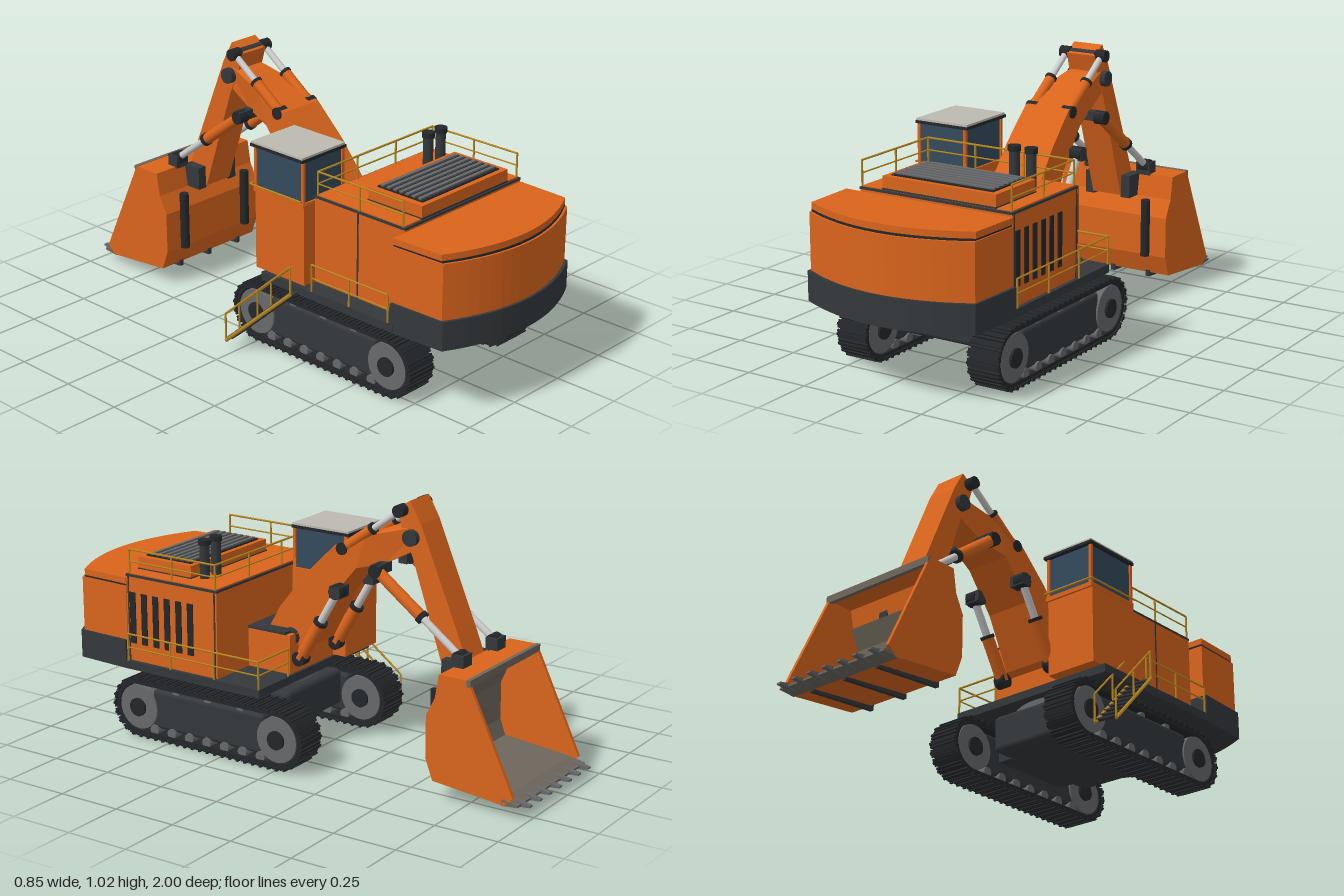
import * as THREE from 'three';
import { RoundedBoxGeometry } from 'three/addons/geometries/RoundedBoxGeometry.js';

const mat = (color, side = THREE.FrontSide) => new THREE.MeshStandardMaterial({ color, side });
const orange = mat(0xd9641c), dark = mat(0x34383b), black = mat(0x24272a), steel = mat(0x66686a);
const chrome = mat(0xcccccc), yellow = mat(0xb8871f), glass = mat(0x344a5c), roofMat = mat(0xbdbab0), worn = mat(0x6e675c);
const CX = 0.055; // centre line of the machine

export function createModel() {
  const root = new THREE.Group();
  let target = root;
  const group = (name) => { target = new THREE.Group(); target.name = name; root.add(target); return target; };
  const add = (name, geo, m) => { const o = new THREE.Mesh(geo, m); o.name = name; target.add(o); return o; };

  const box = (name, m, x0, x1, y0, y1, z0, z1, r = 0) => {
    const s = [x1 - x0, y1 - y0, z1 - z0];
    const o = add(name, r ? new RoundedBoxGeometry(...s, 2, r) : new THREE.BoxGeometry(...s), m);
    o.position.set((x0 + x1) / 2, (y0 + y1) / 2, (z0 + z1) / 2);
    return o;
  };
  const shapeOf = (pts) => new THREE.Shape(pts.map((p) => new THREE.Vector2(p[0], p[1])));
  // side profile given as [z, y], extruded from x0 to x1
  const side = (name, m, shape, x0, x1) => {
    const g = new THREE.ExtrudeGeometry(Array.isArray(shape) ? shapeOf(shape) : shape, { depth: x1 - x0, bevelEnabled: false, curveSegments: 16 });
    g.rotateY(-Math.PI / 2).translate(x1, 0, 0);
    return add(name, g, m);
  };
  // plan outline given as [x, z], extruded from y0 to y1
  const plan = (name, m, pts, y0, y1) => {
    const g = new THREE.ExtrudeGeometry(shapeOf(pts), { depth: y1 - y0, bevelEnabled: false });
    return add(name, g.rotateX(Math.PI / 2).translate(0, y1, 0), m);
  };
  const rod = (name, m, a, b, r, seg = 16, r2 = r) => {
    const A = new THREE.Vector3(...a), d = new THREE.Vector3(...b).sub(A);
    const o = add(name, new THREE.CylinderGeometry(r2, r, d.length(), seg), m);
    o.position.copy(A).addScaledVector(d, 0.5);
    o.quaternion.setFromUnitVectors(new THREE.Vector3(0, 1, 0), d.normalize());
    return o;
  };
  const pin = (name, m, x0, x1, y, z, r, seg = 20) => rod(name, m, [x0, y, z], [x1, y, z], r, seg);
  const rail = (pts, r = 0.004) => pts.slice(1).forEach((p, i) => rod('rail', yellow, pts[i], p, r, 6));

  // Crawler tracks
  const ZA = -0.005, ZB = 0.642, CY = 0.12;
  const stadium = (P, r) => {
    P.absarc(ZB, CY, r, -Math.PI / 2, Math.PI / 2, false);
    P.absarc(ZA, CY, r, Math.PI / 2, Math.PI * 1.5, false);
    P.closePath();
    return P;
  };
  for (const [x0, x1, out] of [[-0.29, -0.16, -1], [0.27, 0.4, 1]]) {
    group('crawlerTrack');
    const belt = stadium(new THREE.Shape(), 0.107);
    belt.holes.push(stadium(new THREE.Path(), 0.092));
    side('trackBelt', black, belt, x0 + 0.006, x1 - 0.006);
    const run = ZB - ZA, R = 0.11, arc = Math.PI * R, total = 2 * (run + arc), n = 56;
    for (let i = 0; i < n; i++) {
      let s = (i / n) * total, z, y, a;
      if (s < run) { z = ZA + s; y = CY - R; a = -Math.PI / 2; }
      else if (s < run + arc) { a = -Math.PI / 2 + (s - run) / R; z = ZB + R * Math.cos(a); y = CY + R * Math.sin(a); }
      else if (s < 2 * run + arc) { z = ZB - (s - run - arc); y = CY + R; a = Math.PI / 2; }
      else { a = Math.PI / 2 + (s - 2 * run - arc) / R; z = ZA + R * Math.cos(a); y = CY + R * Math.sin(a); }
      const shoe = add('trackShoe', new THREE.BoxGeometry(x1 - x0, 0.008, 0.03), black);
      const bar = add('grouser', new THREE.BoxGeometry(x1 - x0, 0.012, 0.009), black);
      shoe.position.set((x0 + x1) / 2, y, z);
      bar.position.set((x0 + x1) / 2, y + 0.004 * Math.sin(a), z + 0.004 * Math.cos(a));
      shoe.rotation.x = bar.rotation.x = Math.PI / 2 - a;
    }
    box('trackFrame', dark, x0 + 0.015, x1 - 0.015, 0.045, 0.2, 0.06, 0.58, 0.015);
    for (const z of [ZA, ZB]) {
      pin('wheel', steel, x0 + 0.008, x1 - 0.008, CY, z, 0.088, 28);
      pin('wheelHub', black, x0 - 0.002, x1 + 0.002, CY, z, 0.036);
    }
    for (let i = 0; i < 7; i++) pin('roller', steel, x0 + 0.008, x1 - 0.008, 0.04, 0.07 + i * 0.083, 0.02, 12);
    for (let i = 0; i < 3; i++) pin('carrierRoller', steel, x0 + 0.02, x1 - 0.02, 0.2, 0.17 + i * 0.15, 0.015, 12);
    box('trackArm', dark, out < 0 ? -0.2 : 0.2, out < 0 ? -0.1 : 0.3, 0.1, 0.19, 0.14, 0.5);
  }

  // Car body and slewing ring
  group('undercarriage');
  box('carBody', dark, -0.125, 0.235, 0.1, 0.245, 0.05, 0.59, 0.02);
  rod('slewRing', steel, [CX, 0.235, 0.32], [CX, 0.282, 0.32], 0.235, 48);

  // Deck and counterweight with a curved rear
  group('upperBody');
  box('deck', dark, -0.31, 0.42, 0.278, 0.31, 0.05, 0.69);
  const rear = (w0, w1, zEdge, zMid) => {
    const p = [[CX - w0, 0.675], [CX + w0, 0.675]];
    for (let i = 0; i <= 16; i++) {
      const t = 1 - i / 8;
      p.push([CX + w1 * t, zEdge + (zMid - zEdge) * (1 - t * t)]);
    }
    return p;
  };
  plan('counterweightBase', dark, rear(0.365, 0.352, 0.905, 1.0), 0.278, 0.388);
  plan('counterweight', orange, rear(0.352, 0.345, 0.895, 0.99), 0.388, 0.6);
  plan('counterweightSeam', black, rear(0.348, 0.34, 0.888, 0.982), 0.6, 0.608);
  plan('counterweightLid', orange, rear(0.352, 0.343, 0.885, 0.978), 0.608, 0.632);

  // Engine house, hood, grilles and stacks
  box('engineHouse', orange, -0.235, 0.404, 0.31, 0.64, 0.25, 0.675);
  box('houseRoofTrim', dark, -0.237, 0.406, 0.64, 0.648, 0.248, 0.677);
  box('houseRoof', orange, -0.23, 0.398, 0.644, 0.652, 0.256, 0.668);
  box('hood', orange, -0.14, 0.335, 0.65, 0.7, 0.42, 0.67);
  box('hoodTrim', dark, -0.142, 0.337, 0.65, 0.656, 0.418, 0.672);
  box('hoodGrille', black, -0.115, 0.31, 0.7, 0.705, 0.44, 0.65);
  for (let i = 0; i < 7; i++) box('hoodSlat', steel, -0.11, 0.305, 0.703, 0.711, 0.45 + i * 0.029, 0.464 + i * 0.029);
  for (let i = 0; i < 6; i++) box('sideGrille', black, 0.398, 0.408, 0.38, 0.58, 0.632 - i * 0.0545, 0.658 - i * 0.0545);
  for (const z of [0.26, 0.665]) box('houseCornerTrim', dark, 0.4, 0.406, 0.31, 0.64, z - 0.003, z + 0.003);
  box('sideDoorSeam', dark, -0.237, -0.23, 0.31, 0.64, 0.455, 0.461);
  for (const x of [0.225, 0.295]) {
    rod('exhaustStack', dark, [x, 0.65, 0.385], [x, 0.785, 0.385], 0.019);
    rod('exhaustCap', black, [x, 0.78, 0.385], [x, 0.8, 0.385], 0.024);
  }
  box('boomFootHousing', orange, -0.075, 0.21, 0.31, 0.46, 0.06, 0.25);
  box('boomFootTrim', dark, -0.075, 0.212, 0.46, 0.47, 0.08, 0.25);

  // Operator cab
  group('cab');
  box('cabBase', orange, -0.292, -0.078, 0.31, 0.625, 0.005, 0.25);
  box('cabGlass', glass, -0.286, -0.083, 0.625, 0.79, 0.005, 0.24);
  for (const x of [-0.286, -0.083]) for (const z of [0.005, 0.24])
    box('cabPost', orange, x - 0.006, x + 0.006, 0.62, 0.79, z - 0.006, z + 0.006);
  box('cabSill', orange, -0.294, -0.075, 0.612, 0.63, -0.003, 0.248);
  box('cabRoofRim', black, -0.3, -0.07, 0.787, 0.798, -0.012, 0.248);
  box('cabRoof', roofMat, -0.297, -0.073, 0.798, 0.806, -0.009, 0.245);

  // Handrails
  group('handrails');
  const fence = (path, y0, y1, mid = true) => {
    rail(path.map(([x, z]) => [x, y1, z]));
    if (mid) rail(path.map(([x, z]) => [x, (y0 + y1) / 2, z]), 0.003);
    path.slice(1).forEach(([x, z], i) => {
      const [px, pz] = path[i], n = Math.max(1, Math.round(Math.hypot(x - px, z - pz) / 0.2));
      for (let k = 0; k <= n; k++) {
        const t = k / n, X = px + (x - px) * t, Z = pz + (z - pz) * t;
        rod('railPost', yellow, [X, y0, Z], [X, y1, Z], 0.004, 6);
      }
    });
  };
  fence([[-0.233, 0.665], [-0.233, 0.262], [0.395, 0.262], [0.395, 0.665]], 0.65, 0.743);
  fence([[0.23, 0.055], [0.417, 0.055], [0.417, 0.665]], 0.31, 0.416);
  fence([[-0.307, 0.3], [-0.307, 0.665]], 0.31, 0.416);
  rail([[-0.075, 0.64, -0.012], [-0.302, 0.64, -0.012], [-0.302, 0.64, 0.245]]);

  // Boarding stairs
  group('boardingStairs');
  const foot = [[-0.42, 0.04, -0.03], [-0.335, 0.04, -0.045]], rise = [0.055, 0.26, 0.28];
  const along = (p, t, up = 0) => p.map((v, i) => v + rise[i] * t + (i === 1 ? up : 0));
  for (const p of foot) {
    rail([along(p, 0), along(p, 1)], 0.007);
    rail([along(p, 0, 0.11), along(p, 1, 0.11)]);
    for (const t of [0, 0.5, 1]) rail([along(p, t), along(p, t, 0.11)]);
  }
  for (let i = 0; i < 9; i++) {
    const t = 0.06 + i * 0.11, a = along(foot[0], t), b = along(foot[1], t);
    const tread = box('tread', dark, a[0], b[0], a[1] - 0.003, a[1] + 0.003, a[2] - 0.018, a[2] + 0.005);
    tread.rotation.y = 0.17;
  }

  // Boom, narrowing towards its tip
  group('boom');
  const boom = side('boomBeam', orange, [[0.19, 0.46], [0.14, 0.55], [0.02, 0.7], [-0.1, 0.82], [-0.23, 0.872], [-0.33, 0.915],
    [-0.44, 0.93], [-0.455, 0.86], [-0.3, 0.775], [-0.19, 0.745], [-0.07, 0.6], [0.035, 0.4], [0.1, 0.36]], -1, 1);
  const bp = boom.geometry.attributes.position;
  for (let i = 0; i < bp.count; i++) {
    const z = bp.getZ(i);
    const h = z > -0.24 ? 0.09 + (z + 0.24) * 0.035 : Math.max(0.056, 0.09 + (z + 0.24) * 0.4);
    bp.setX(i, CX + Math.sign(bp.getX(i)) * h);
  }
  boom.geometry.computeVertexNormals();
  pin('boomFootPin', dark, CX - 0.12, CX + 0.12, 0.44, 0.09, 0.035);

  // Stick
  group('stick');
  side('stickBeam', orange, [[-0.345, 0.985], [-0.4, 1.02], [-0.445, 0.94], [-0.6, 0.57], [-0.64, 0.47], [-0.59, 0.39],
    [-0.555, 0.39], [-0.41, 0.82], [-0.37, 0.9]], CX - 0.0625, CX + 0.0625);
  pin('stickPivot', dark, CX - 0.085, CX + 0.085, 0.887, -0.41, 0.03);
  pin('stickTopPin', dark, CX - 0.092, CX + 0.092, 0.983, -0.37, 0.018);
  pin('bucketPivot', dark, CX - 0.09, CX + 0.09, 0.42, -0.59, 0.025);

  // Hydraulic cylinders, mirrored about the centre line
  for (const s of [-1, 1]) {
    group('hydraulics');
    const ram = (dx, a, b, t, r) => {
      const x = CX + s * dx, m = [a[0] + (b[0] - a[0]) * t, a[1] + (b[1] - a[1]) * t];
      const at = ([z, y]) => [x, y, z], lip = [m[0] + (b[0] - a[0]) * 0.04, m[1] + (b[1] - a[1]) * 0.04];
      rod('cylinderBarrel', orange, at(a), at(m), r);
      rod('cylinderCollar', black, at(m), at(lip), r * 1.15);
      rod('cylinderRod', chrome, at(m), at(b), r * 0.62);
      for (const [z, y] of [a, b]) pin('cylinderEye', black, x - 0.022, x + 0.022, y, z, r * 1.15);
    };
    ram(0.12, [0.035, 0.37], [-0.13, 0.655], 0.52, 0.024);
    ram(0.12, [-0.3, 0.76], [-0.65, 0.5], 0.52, 0.022);
    ram(0.078, [-0.13, 0.81], [-0.37, 0.983], 0.5, 0.02);
    const lug = (name, z, y, d, x0, x1) => box(name, dark, Math.min(CX + s * x0, CX + s * x1), Math.max(CX + s * x0, CX + s * x1), y - d, y + d, z - d, z + d);
    lug('boomLug', -0.13, 0.655, 0.022, 0.08, 0.145);
    lug('boomLowerLug', -0.3, 0.765, 0.018, 0.05, 0.14);
    lug('bucketLug', -0.655, 0.49, 0.025, 0.09, 0.15);
    lug('bucketHinge', -0.605, 0.425, 0.045, 0.06, 0.1);
  }

  // Bucket, open towards the teeth
  group('bucket');
  const B0 = -0.195, B1 = 0.305;
  const back = [[-0.757, 0.47], [-0.64, 0.47], [-0.625, 0.38], [-0.59, 0.31], [-0.59, 0.15], [-0.62, 0.07], [-0.91, 0.042]];
  side('bucketShell', orange, [...back, [-0.95, 0.05], [-0.91, 0.062], [-0.635, 0.088], [-0.61, 0.155], [-0.61, 0.305], [-0.645, 0.38],
    [-0.66, 0.452], [-0.757, 0.452]], B0 + 0.01, B1 - 0.01);
  for (const x of [B0, B1 - 0.014]) side('bucketCheek', orange, [...back, [-0.945, 0.075]], x, x + 0.014);
  side('bucketLiner', worn, [[-0.945, 0.053], [-0.91, 0.064], [-0.636, 0.09], [-0.612, 0.156], [-0.612, 0.305], [-0.646, 0.38], [-0.652, 0.38],
    [-0.618, 0.303], [-0.618, 0.158], [-0.64, 0.097], [-0.91, 0.072], [-0.955, 0.056]], B0 + 0.014, B1 - 0.014);
  box('bucketTopLip', worn, B0, B1, 0.445, 0.472, -0.768, -0.752);
  side('bucketEdge', worn, [[-0.9, 0.04], [-0.9, 0.066], [-0.965, 0.054], [-0.965, 0.046]], B0, B1);
  for (let i = 0; i < 7; i++) {
    const x = -0.163 + i * 0.0725;
    side('tooth', steel, [[-0.93, 0.04], [-0.93, 0.064], [-1.0, 0.053], [-1.0, 0.046]], x - 0.01, x + 0.01);
  }
  for (const x of [-0.11, 0.22]) rod('bucketRam', black, [x, 0.15, -0.577], [x, 0.38, -0.577], 0.018);
  for (const x of [-0.1, 0.055, 0.215]) side('bucketSkid', dark, [[-0.61, 0.08], [-0.61, 0.055], [-0.9, 0.033], [-0.9, 0.046]], x - 0.008, x + 0.008);
  return root;
}
